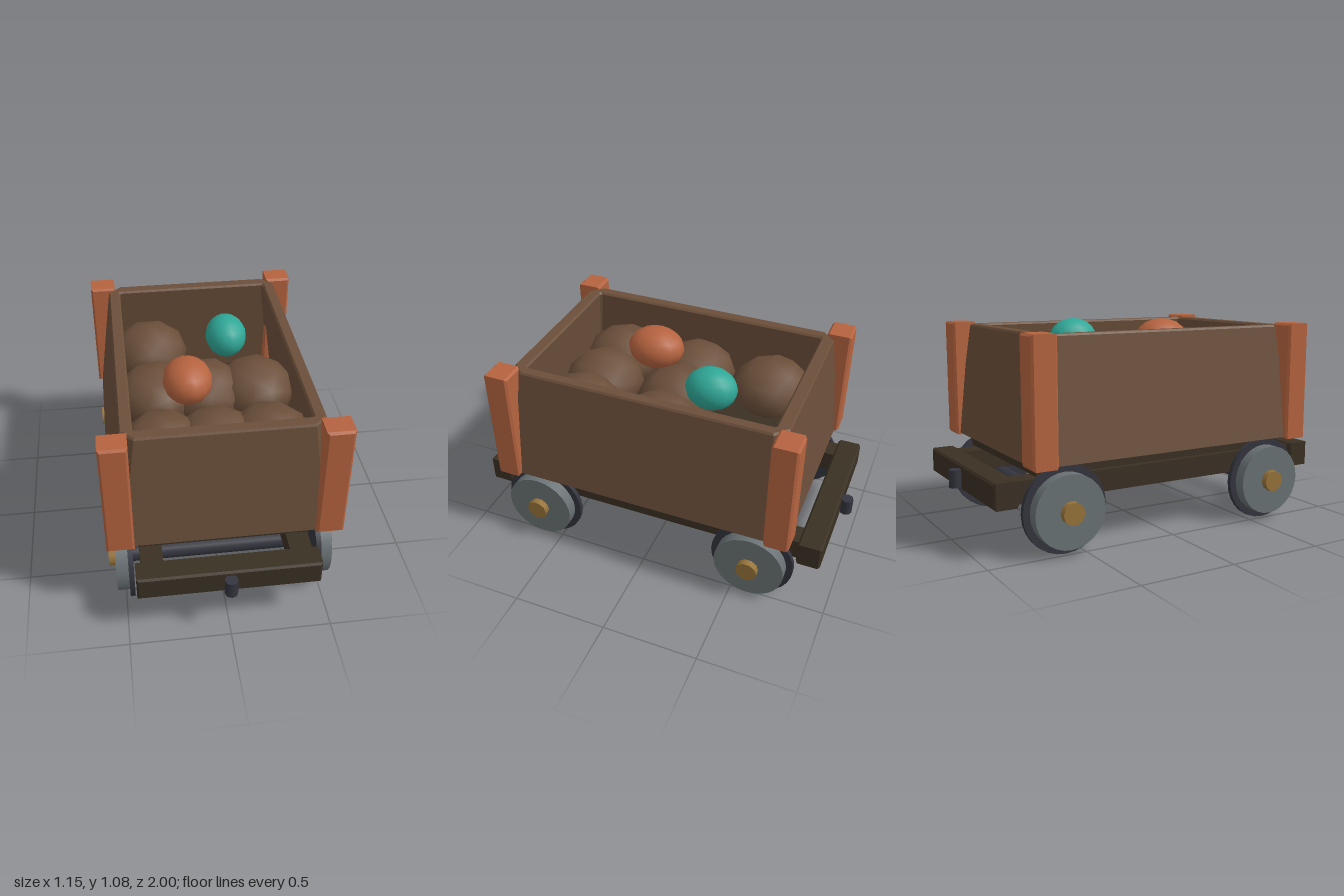
import * as THREE from 'three';

const mat = (name, color) => {
  const m = new THREE.MeshStandardMaterial({ color });
  m.name = name;
  return m;
};

// Box with small chamfers on every edge
function chamferBox(w, h, d, c = 0.01) {
  const x = w / 2 - c, y = h / 2 - c;
  const s = new THREE.Shape([[-x, -y], [x, -y], [x, y], [-x, y]].map(p => new THREE.Vector2(...p)));
  const g = new THREE.ExtrudeGeometry(s, {
    depth: d - 2 * c, bevelEnabled: true, bevelThickness: c, bevelSize: c, bevelSegments: 1,
  });
  return g.translate(0, 0, -d / 2 + c);
}

// Rectangle with cut corners at height y
function ring(x, z, c, y) {
  const a = x - c, b = z - c;
  return [[x, b], [a, z], [-a, z], [-x, b], [-x, -b], [-a, -z], [a, -z], [x, -b]].map(p => [p[0], y, p[1]]);
}

// Flat-faced skin through a closed loop of rings
function skinRings(rings) {
  const pos = [];
  rings.forEach((lo, k) => {
    const hi = rings[(k + 1) % rings.length];
    lo.forEach((p, i) => {
      const j = (i + 1) % lo.length;
      pos.push(...p, ...hi[i], ...hi[j], ...p, ...hi[j], ...lo[j]);
    });
  });
  const g = new THREE.BufferGeometry();
  g.setAttribute('position', new THREE.Float32BufferAttribute(pos, 3));
  g.computeVertexNormals();
  return g;
}

export function createModel() {
  const wood = mat('brown wood', 0x6b4f3a);
  const darkWood = mat('dark wood', 0x3a3023);
  const rust = mat('rust orange', 0xb5633f);
  const iron = mat('dark iron', 0x33343e);
  const steel = mat('grey steel', 0x697174);
  const brass = mat('brass', 0x96733a);
  const teal = mat('teal', 0x2fa797);

  const model = new THREE.Group();
  const add = (name, geo, material, x = 0, y = 0, z = 0, parent = model) => {
    const m = new THREE.Mesh(geo, material);
    m.name = name;
    m.position.set(x, y, z);
    parent.add(m);
    return m;
  };

  // Tub: four walls leaning inwards towards the rim
  add('tubWalls', skinRings([
    ring(0.555, 0.78, 0.065, 0.45),
    ring(0.475, 0.715, 0.062, 1.035),
    ring(0.468, 0.708, 0.06, 1.045),
    ring(0.422, 0.655, 0.01, 1.045),
    ring(0.413, 0.646, 0.01, 1.035),
    ring(0.49, 0.715, 0.01, 0.46),
  ]), wood);
  add('tubFloor', new THREE.BoxGeometry(1.0, 0.02, 1.45), darkWood, 0, 0.462, 0);
  add('underFloor', new THREE.BoxGeometry(0.85, 0.075, 1.44), darkWood, 0, 0.418, 0);

  // Corner posts
  const postGeo = chamferBox(0.135, 0.615, 0.13, 0.011);
  for (const sx of [-1, 1]) for (const sz of [-1, 1])
    add('cornerPost', postGeo, rust, sx * 0.508, 0.748, sz * 0.735);

  // Chassis: two long beams, end beams and coupling pins
  for (const s of [-1, 1]) {
    add('sideBeam', chamferBox(0.11, 0.11, 1.68), darkWood, s * 0.365, 0.315, 0);
    add('endBeam', chamferBox(0.895, 0.13, 0.125), darkWood, 0, 0.315, s * 0.878);
    add('couplingPin', new THREE.CylinderGeometry(0.033, 0.033, 0.09, 8), iron, 0, 0.313, s * 0.967);
  }

  // Wheel sets
  const disc = (r, w, n) => new THREE.CylinderGeometry(r, r, w, n).rotateZ(Math.PI / 2);
  const axleGeo = disc(0.045, 0.93, 14);
  const flangeGeo = disc(0.218, 0.025, 28);
  const treadGeo = disc(0.183, 0.064, 28);
  const hubGeo = disc(0.056, 0.04, 10);
  for (const sz of [-1, 1]) {
    const set = new THREE.Group();
    set.name = 'wheelSet';
    set.position.set(0, 0.22, sz * 0.597);
    model.add(set);
    add('axle', axleGeo, iron, 0, 0, 0, set);
    for (const sx of [-1, 1]) {
      add('wheelFlange', flangeGeo, iron, sx * 0.4665, 0, 0, set);
      add('wheelTread', treadGeo, steel, sx * 0.508, 0, 0, set);
      add('wheelHub', hubGeo, brass, sx * 0.555, 0, 0, set);
    }
  }

  // Load: rows of rounded lumps, one corner left open
  const lumpGeo = new THREE.IcosahedronGeometry(1, 1).scale(0.21, 0.16, 0.215);
  for (let i = 0; i < 7; i++) {
    const col = i % 3, row = Math.floor(i / 3);
    add('lump', lumpGeo, wood, (col - 1) * 0.265, 0.77, 0.43 - row * 0.435).rotation.y = 0.3 * (i % 2);
  }

  // Two bright nuggets on top
  const nugget = (name, rx, rz, material, x, z) =>
    add(name, new THREE.SphereGeometry(1, 14, 10).scale(rx, 0.11, rz), material, x, 0.967, z);
  nugget('orangeNugget', 0.126, 0.153, rust, -0.115, 0.17);
  nugget('tealNugget', 0.11, 0.135, teal, 0.138, -0.235);

  return model;
}
